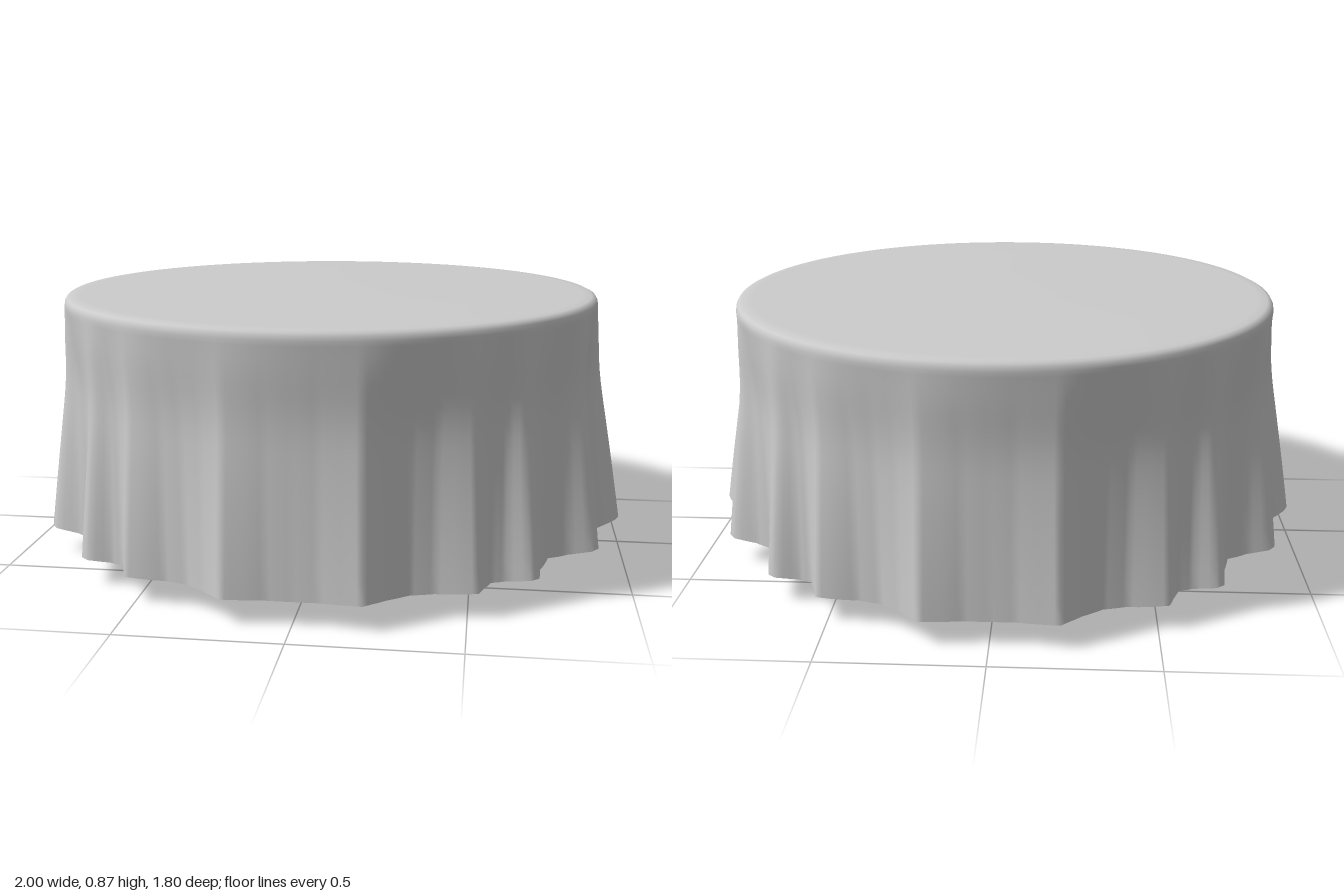
import * as THREE from 'three';

// Hem radius against angle (degrees from the x axis), mirrored into four quarters
const HEM = [[0, 1.0], [2, 0.985], [9, 0.895], [13, 0.868], [16, 0.9], [20, 0.965], [22, 0.955],
  [25, 0.89], [29, 0.85], [36, 0.885], [41, 0.94], [43, 0.935], [46, 0.88], [49, 0.862],
  [52, 0.89], [55, 0.926], [58, 0.9], [62, 0.862], [67, 0.85], [72, 0.872], [75, 0.9],
  [77, 0.922], [80, 0.905], [85, 0.88], [90, 0.876]];

function hemRadius(angle) {
  let d = THREE.MathUtils.radToDeg(angle) % 180;
  if (d > 90) d = 180 - d;
  let i = 0;
  while (i < HEM.length - 2 && d > HEM[i + 1][0]) i++;
  const [a0, r0] = HEM[i], [a1, r1] = HEM[i + 1];
  return THREE.MathUtils.mapLinear(d, a0, a1, r0, r1);
}

// Cloth cross-section without folds: [radius, height], from the top centre to the rim
const TOP = [[0.3, 0.869], [0.6, 0.867], [0.84, 0.866], [0.872, 0.864], [0.884, 0.858], [0.89, 0.848], [0.892, 0.835]];
// Side of the cloth: radius against the share of the drop
const WAIST = new THREE.SplineCurve([[0.892, 0], [0.883, 0.12], [0.867, 0.32], [0.867, 0.55], [0.875, 1]]
  .map(([r, t]) => new THREE.Vector2(r, t)));

function clothGeometry() {
  const SEG = 360, DROP = 16, rows = TOP.length + DROP;
  const pos = [0, 0.87, 0], index = [];
  for (let j = 0; j < rows; j++) {
    for (let i = 0; i < SEG; i++) {
      const a = (i / SEG) * Math.PI * 2;
      const fold = hemRadius(a) - 0.875;
      let r, y;
      if (j < TOP.length) {
        [r, y] = TOP[j];
      } else {
        // folds deepen towards the hem
        const p = WAIST.getPoint((j - TOP.length + 1) / DROP);
        const hemY = 0.075 + 0.12 * Math.max(0, fold);
        r = p.x + p.y * (1.2 - 0.2 * p.y) * fold;
        y = THREE.MathUtils.lerp(0.835, hemY, p.y);
      }
      pos.push(r * Math.cos(a), y, r * Math.sin(a));
    }
  }
  const at = (j, i) => 1 + j * SEG + (i % SEG);
  for (let i = 0; i < SEG; i++) {
    index.push(0, at(0, i + 1), at(0, i));
    for (let j = 0; j < rows - 1; j++) {
      index.push(at(j, i), at(j, i + 1), at(j + 1, i), at(j, i + 1), at(j + 1, i + 1), at(j + 1, i));
    }
  }
  const g = new THREE.BufferGeometry();
  g.setAttribute('position', new THREE.Float32BufferAttribute(pos, 3));
  g.setIndex(index);
  g.computeVertexNormals();
  return g;
}

export function createModel() {
  const model = new THREE.Group();
  model.name = 'clothedTable';

  // Draped cloth
  const cloth = new THREE.Mesh(clothGeometry(),
    new THREE.MeshStandardMaterial({ color: 0xcccccc, side: THREE.DoubleSide }));
  cloth.name = 'tablecloth';
  model.add(cloth);

  // Four square legs
  const legMaterial = new THREE.MeshStandardMaterial({ color: 0xcccccc });
  const legGeometry = new THREE.BoxGeometry(0.048, 0.66, 0.048);
  for (const [x, side] of [[0.465, 'Left'], [-0.527, 'Right']]) {
    for (const [z, end] of [[0.492, 'front'], [-0.54, 'back']]) {
      const leg = new THREE.Mesh(legGeometry, legMaterial);
      leg.name = `${end}${side}Leg`;
      leg.position.set(x, 0.33, z);
      model.add(leg);
    }
  }
  return model;
}
